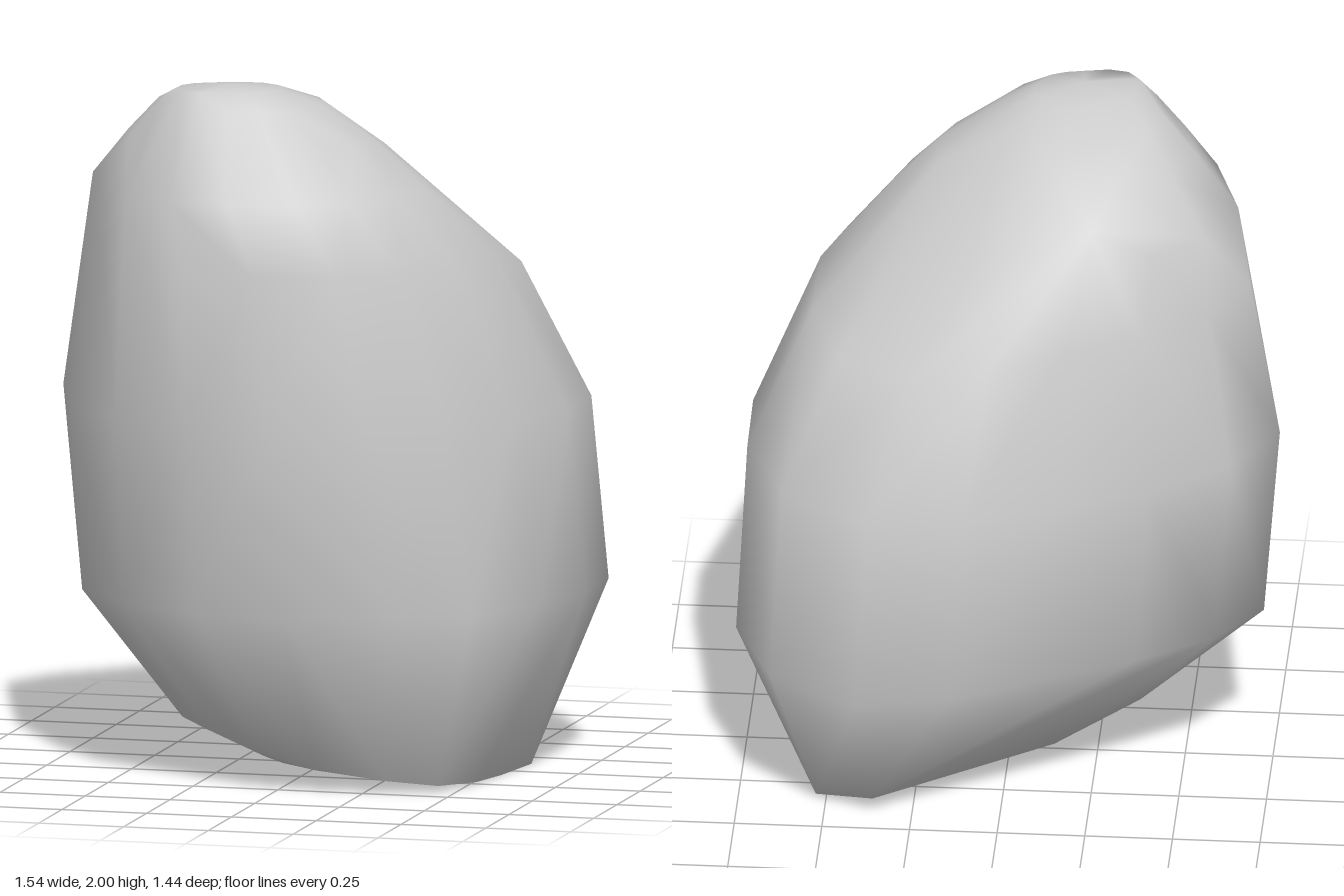
import * as THREE from 'three';
import { ConvexGeometry } from 'three/addons/geometries/ConvexGeometry.js';
import { mergeVertices } from 'three/addons/utils/BufferGeometryUtils.js';

// Boulder outline seen from above, [x, z], running round from the -x side.
const OUTLINE = [
  [-0.77, -0.05], [-0.64, -0.23], [-0.42, -0.38], [-0.15, -0.52], [0.11, -0.66],
  [0.38, -0.72], [0.64, -0.55], [0.76, -0.27], [0.765, 0.02], [0.68, 0.27],
  [0.54, 0.52], [0.33, 0.64], [0.04, 0.715], [-0.22, 0.685], [-0.46, 0.54], [-0.65, 0.32],
];

// Cross-sections from bottom to top: extents in x and z, then how far each quadrant
// is pushed outwards (flat: back right, fr: front right, fl: front left, bl: back left).
// tilt lowers the +x side, lift raises the right side, drop lowers the back left.
const LEVELS = [
  { y: 0.02, x: [-0.18, 0.42], z: [-0.2, 0.28], tilt: 0.018 },
  { y: 0.065, x: [-0.37, 0.54], z: [-0.37, 0.5], tilt: 0.065, lift: 0.3, fr: 0.1, fl: 0.09, bl: 0.1 },
  { y: 0.52, x: [-0.73, 0.765], z: [-0.72, 0.66], fr: 0.05, fl: 0.04 },
  { y: 1.06, x: [-0.77, 0.74], z: [-0.61, 0.72], flat: 0.2, fl: -0.06 },
  { y: 1.5, x: [-0.68, 0.55], z: [-0.42, 0.67], flat: 0.3, bl: 0.03, drop: 0.12 },
  { y: 1.7, x: [-0.64, 0.36], z: [-0.23, 0.64], flat: 0.33, drop: 0.1 },
  { y: 1.84, x: [-0.52, 0.22], z: [-0.02, 0.5], flat: 0.33, fr: 0.03, drop: 0.06 },
  { y: 1.94, x: [-0.42, 0.06], z: [0.09, 0.45], flat: 0.15, fr: 0.03 },
  { y: 1.985, x: [-0.34, -0.05], z: [0.2, 0.41], flat: 0.05, fr: 0.06 },
];

function boulderGeometry() {
  // Crown and back shoulder
  const points = [new THREE.Vector3(-0.19, 2, 0.32), new THREE.Vector3(-0.25, 1.81, -0.21)];

  // Fit the outline into each level's extents
  for (const { y, x, z, tilt = 0, lift = 0, drop = 0, flat = 0, fr = 0, fl = 0, bl = 0 } of LEVELS) {
    for (const [ox, oz] of OUTLINE) {
      const u = (ox + 0.77) / 1.535;
      const v = (oz + 0.72) / 1.435;
      const left = Math.max(0, 2 * u - 1);
      const right = Math.max(0, 1 - 2 * u);
      const front = Math.max(0, 2 * v - 1);
      const back = Math.max(0, 1 - 2 * v);
      const backRight = back * Math.max(0, 1 - 1.25 * u);
      const pushX = fl * left * front + bl * left * back - fr * right * front;
      const pushZ = fl * left * front - bl * left * back + fr * right * front;
      points.push(new THREE.Vector3(
        THREE.MathUtils.lerp(x[0], x[1], u) + pushX,
        y - tilt * (2 * u - 1) + lift * (backRight + 0.4 * right * front) - drop * left * back,
        THREE.MathUtils.lerp(z[0], z[1], v) + pushZ - flat * backRight,
      ));
    }
  }

  // Wrap the sections in one convex skin with smooth normals
  const hull = new ConvexGeometry(points);
  hull.deleteAttribute('normal');
  const geometry = mergeVertices(hull);
  geometry.computeVertexNormals();
  return geometry;
}

export function createModel() {
  const group = new THREE.Group();
  group.name = 'rock';
  const boulder = new THREE.Mesh(
    boulderGeometry(),
    new THREE.MeshStandardMaterial({ color: 0xcccccc }),
  );
  boulder.name = 'boulder';
  group.add(boulder);
  return group;
}
